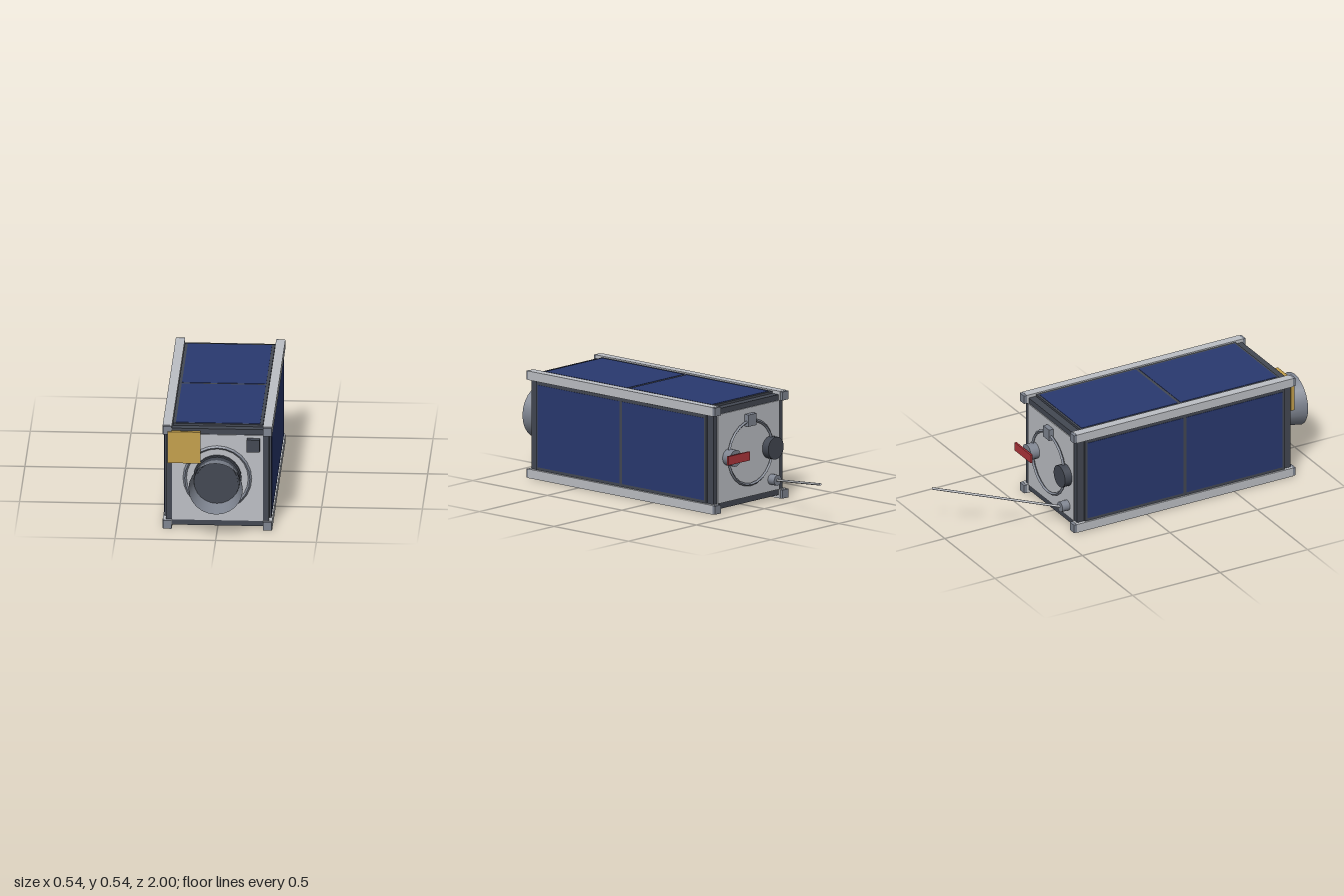
import * as THREE from 'three';

const paint = (name, color, side = THREE.FrontSide) => {
  const m = new THREE.MeshStandardMaterial({ color, side });
  m.name = name;
  return m;
};

export function createModel() {
  const light = paint('light aluminium', 0xbdc0c5);
  const steel = paint('steel grey', 0x7f8591, THREE.DoubleSide);
  const dark = paint('dark grey', 0x434852);
  const blue = paint('solar blue', 0x293970);
  const gold = paint('gold foil', 0xc4a04c);
  const red = paint('red tag', 0xb0363c);

  const model = new THREE.Group();
  model.name = 'satellite';
  const CY = 0.29; // height of the long axis
  const CZ = 0.22; // middle of the body along z

  const add = (name, geometry, material, x, y, z, parent = model) => {
    const mesh = new THREE.Mesh(geometry, material);
    mesh.name = name;
    mesh.position.set(x, y, z);
    parent.add(mesh);
    return mesh;
  };
  const box = (name, mat, w, h, d, x, y, z, parent) =>
    add(name, new THREE.BoxGeometry(w, h, d), mat, x, y, z, parent);
  // cylinder lying along z between two depths
  const disc = (name, mat, r, z0, z1, x, y, sides = 24) =>
    add(name, new THREE.CylinderGeometry(r, r, z1 - z0, sides).rotateX(Math.PI / 2),
      mat, x, y, (z0 + z1) / 2);
  // faceted ring with a diamond section
  const ring = (name, tube, z) => {
    const geometry = new THREE.TorusGeometry(0.162, tube, 4, 24).toNonIndexed();
    geometry.computeVertexNormals();
    add(name, geometry, steel, 0, CY, z);
  };

  // body core and end plates
  box('body', dark, 0.51, 0.51, 1.22, 0, CY, CZ);
  box('frontPlate', light, 0.452, 0.452, 0.008, 0, CY, 0.831);
  box('backPlate', light, 0.452, 0.452, 0.008, 0, CY, -0.391);

  // corner rails with end caps
  for (const sx of [-1, 1]) {
    for (const sy of [-1, 1]) {
      const x = sx * 0.249, y = CY + sy * 0.249;
      box('rail', light, 0.046, 0.046, 1.236, x, y, CZ - 0.002);
      for (const z of [0.842, -0.408]) box('railCap', steel, 0.043, 0.043, 0.016, x, y, z);
    }
  }

  // a solar panel on each long side
  for (let i = 0; i < 4; i++) {
    const panel = new THREE.Group();
    panel.name = 'solarPanel';
    panel.position.set(0, CY, CZ);
    panel.rotation.z = i * Math.PI / 2;
    box('panelBacking', dark, 0.448, 0.016, 1.14, 0, 0.258, 0, panel);
    for (const s of [-1, 1]) {
      box('solarCell', blue, 0.418, 0.004, 0.55, 0, 0.266, s * 0.283, panel);
    }
    model.add(panel);
  }

  // camera: ring, barrel, lens and flared hood
  ring('frontRing', 0.009, 0.842);
  disc('barrelFlange', dark, 0.12, 0.834, 0.85, 0, CY);
  disc('lensBarrel', dark, 0.113, 0.85, 0.9, 0, CY);
  disc('lens', dark, 0.105, 0.9, 0.904, 0, CY);
  const hood = [[0.114, 0.895], [0.135, 1.0]].map(p => new THREE.Vector2(...p));
  add('lensHood', new THREE.LatheGeometry(hood, 24).rotateX(Math.PI / 2), steel, 0, CY, 0);

  // front instruments
  box('goldPatch', gold, 0.164, 0.165, 0.018, -0.165, 0.4525, 0.848);
  box('sunSensor', dark, 0.064, 0.064, 0.03, 0.179, 0.469, 0.849);

  // back ring and the fittings around it
  ring('backRing', 0.008, -0.408);
  box('ringClamp', steel, 0.06, 0.06, 0.026, 0, 0.457, -0.408);
  disc('darkPort', dark, 0.057, -0.435, -0.395, -0.157, CY);
  disc('steelPort', steel, 0.042, -0.445, -0.395, 0.15, CY);
  box('redTag', red, 0.16, 0.045, 0.01, 0.15, 0.293, -0.463);

  // antenna
  const root = new THREE.Vector3(-0.167, 0.125, -0.43);
  const tip = new THREE.Vector3(0.132, 0.238, -0.997);
  disc('antennaBase', steel, 0.027, -0.438, -0.395, root.x, root.y, 16);
  const dir = tip.clone().sub(root);
  const mid = root.clone().add(tip).multiplyScalar(0.5);
  const rod = add('antennaRod', new THREE.CylinderGeometry(0.006, 0.006, dir.length(), 8),
    light, mid.x, mid.y, mid.z);
  rod.quaternion.setFromUnitVectors(new THREE.Vector3(0, 1, 0), dir.normalize());

  return model;
}
